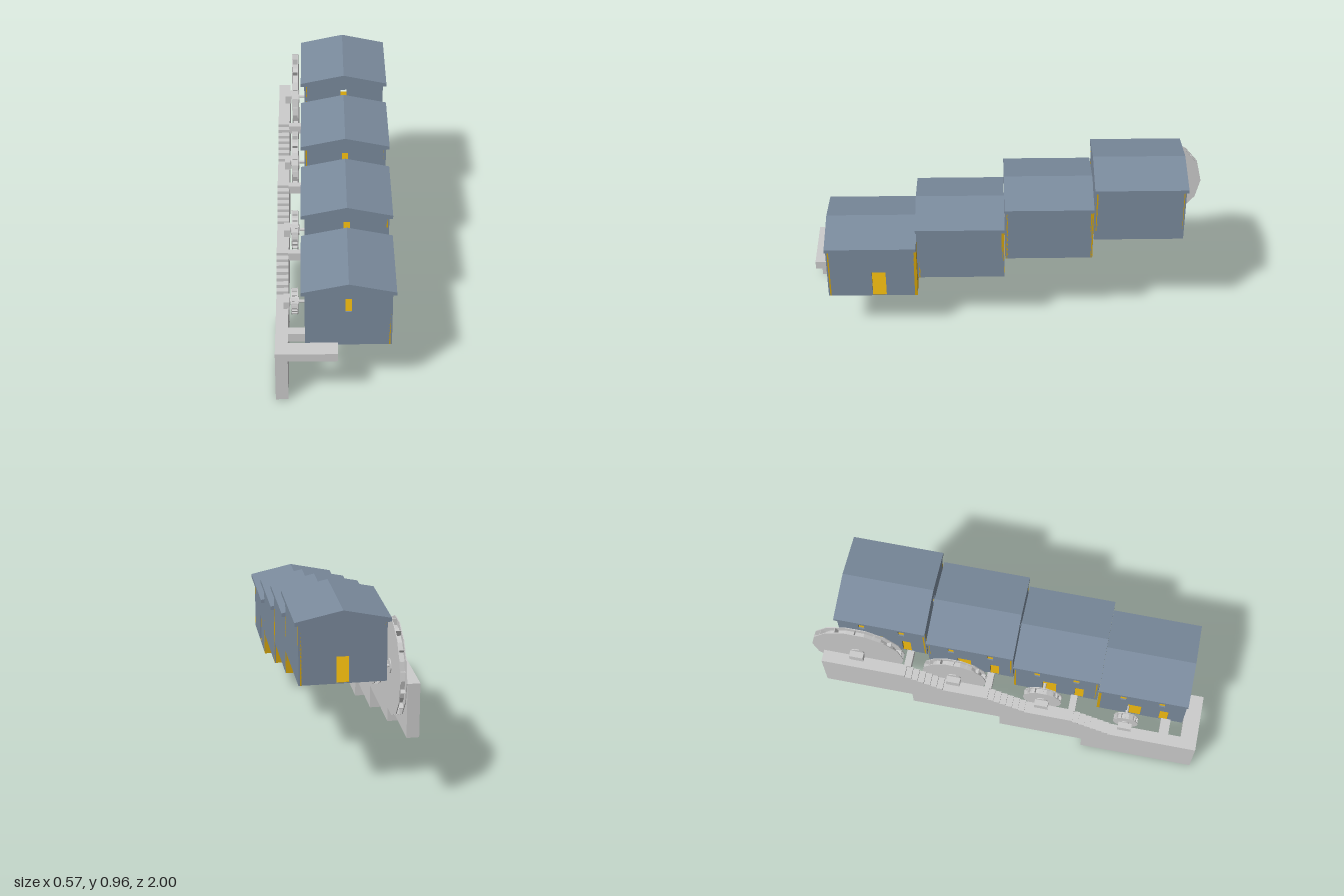
import * as THREE from 'three';

const mat = (color) => new THREE.MeshStandardMaterial({ color, flatShading: true });
const BLUE = mat(0x7b8b9d), YELLOW = mat(0xd4a40c), GREY = mat(0xcccccc);

function add(parent, geo, material, name, x = 0, y = 0, z = 0) {
  const m = new THREE.Mesh(geo, material);
  m.name = name;
  m.position.set(x, y, z);
  parent.add(m);
  return m;
}

// Box given by its minimum and maximum on each axis
function block(parent, name, [x0, x1], [y0, y1], [z0, z1], material = GREY) {
  return add(parent, new THREE.BoxGeometry(x1 - x0, y1 - y0, z1 - z0), material, name,
    (x0 + x1) / 2, (y0 + y1) / 2, (z0 + z1) / 2);
}

function extrude(points, depth, holes = []) {
  const shape = new THREE.Shape(points.map(([a, b]) => new THREE.Vector2(a, b)));
  for (const [u0, u1, v0, v1] of holes) {
    shape.holes.push(new THREE.Path([[u0, v0], [u0, v1], [u1, v1], [u1, v0]]
      .map(([a, b]) => new THREE.Vector2(a, b))));
  }
  return new THREE.ExtrudeGeometry(shape, { depth, bevelEnabled: false });
}

// Wall with an outer and an inner skin; dir is the axis sign it faces
function wall(parent, name, axis, at, dir, [u0, u1], height, holes, outer) {
  const rect = [[u0, 0], [u1, 0], [u1, height], [u0, height]];
  const T = 0.007;
  [outer, YELLOW].forEach((material, layer) => {
    const geo = extrude(rect, T, holes);
    geo.translate(0, 0, -T / 2);
    if (axis === 'x') geo.rotateY(-Math.PI / 2);
    const p = at - dir * T * (layer + 0.5);
    add(parent, geo, material, name + (layer ? 'Lining' : ''),
      axis === 'x' ? p : 0, 0, axis === 'z' ? p : 0);
  });
}

const X0 = -0.145, X1 = 0.265, RIDGE = 0.06, WALL_H = 0.293;

function house(i, base, zBack, zFront) {
  const g = new THREE.Group();
  g.name = 'millHouse' + (i + 1);
  g.position.y = base;
  const c = (zBack + zFront) / 2;
  const front = zFront - 0.004;
  const back = i === 3 ? zBack + 0.008 : zBack;
  const win = (u) => [u - 0.015, u + 0.015, 0.195, 0.27];
  const doorway = (u, w, h, y = 0.004) => [u - w / 2, u + w / 2, y, y + h];

  // Front with a window, back with a doorway up to the next house
  wall(g, 'frontWall', 'z', front, 1, [X0, X1], WALL_H, [win(RIDGE)], BLUE);
  const backDoor = i === 3 ? doorway(RIDGE, 0.06, 0.128) : doorway(RIDGE, 0.06, 0.15, 0.118);
  wall(g, 'backWall', 'z', back, -1, [X0, X1], WALL_H, [backDoor], i === 3 ? BLUE : YELLOW);

  // Wheel side: two windows, a bridge door and a shaft opening
  wall(g, 'wheelSideWall', 'x', X0, -1, [back, front], WALL_H,
    [win(c + 0.1), win(c - 0.1), doorway(c + 0.12, 0.045, 0.12), doorway(c - 0.035, 0.07, 0.13)], BLUE);
  wall(g, 'outerSideWall', 'x', X1, 1, [back, front], WALL_H,
    i === 0 ? [doorway(c - 0.035, 0.07, 0.146)] : [], BLUE);

  block(g, 'floor', [X0 + 0.002, X1 - 0.002], [0, 0.006], [back + 0.002, front - 0.002], YELLOW);
  block(g, 'floorSlot', [RIDGE - 0.006, RIDGE + 0.006], [-0.003, 0.001], [c - 0.08, c + 0.05], GREY);

  // Low gabled roof
  const roof = extrude([[-0.163, 0.29], [0.283, 0.29], [0.283, 0.308], [RIDGE, 0.356], [-0.163, 0.308]],
    zFront - zBack);
  add(g, roof, BLUE, 'roof', 0, 0, zBack);
  return g;
}

// Water wheel: two side discs, a drum and paddles between, on a shaft with a bearing block
function waterWheel(i, y, z, r) {
  const g = new THREE.Group();
  g.name = 'waterWheel' + (i + 1);
  g.position.set(-0.195, y, z);
  const disc = (name, radius, width, x, sides) => {
    const geo = new THREE.CylinderGeometry(radius, radius, width, sides);
    geo.rotateZ(Math.PI / 2);
    add(g, geo, GREY, name, x);
  };
  const n = 14;
  for (const s of [-1, 1]) disc('sideDisc', r, 0.004, s * 0.0145, n);
  disc('drum', r * 0.87, 0.026, 0, n);
  for (let k = 0; k < n; k++) {
    const a = (k / n) * Math.PI * 2;
    const rr = r * 0.91;
    const p = add(g, new THREE.BoxGeometry(0.026, r * 0.14, 0.004), GREY, 'paddle',
      0, Math.cos(a) * rr, Math.sin(a) * rr);
    p.rotation.x = a;
  }
  for (const s of [-1, 1]) disc('hub', Math.min(0.035, r * 0.3), 0.006, s * 0.0185, 10);
  disc('shaft', 0.008, 0.12, 0.015, 8);
  block(g, 'bearing', [-0.055, -0.024], [-0.026, 0.018], [-0.035, 0.035]);
  return g;
}

export function createModel() {
  const model = new THREE.Group();
  model.name = 'stepped water mill';

  // Four houses climbing the slope
  const zs = [0.915, 0.46, 0.02, -0.418, -0.872];
  [0.26, 0.375, 0.492, 0.606].forEach((y, i) => model.add(house(i, y, zs[i + 1], zs[i])));

  // Wheels grow towards the back
  [[0.295, 0.62, 0.065], [0.41, 0.18, 0.1], [0.525, -0.275, 0.165], [0.64, -0.765, 0.235]]
    .forEach(([y, z, r], i) => model.add(waterWheel(i, y, z, r)));

  // Stone wall: stepped underside, flights of stairs along the top
  const tops = [0.275, 0.388, 0.5, 0.614];
  const flights = [0.54, 0.1, -0.32];
  const steps = 7, run = 0.19;
  const outline = [[1, 0], [1, tops[0]]];
  flights.forEach((z, f) => {
    for (let k = 0; k < steps; k++) {
      const zz = z - (run * k) / (steps - 1);
      const rise = (tops[f + 1] - tops[f]) / steps;
      outline.push([zz, tops[f] + rise * k], [zz, tops[f] + rise * (k + 1)]);
    }
  });
  outline.push([-0.938, tops[3]], [-0.938, 0.345], [-0.487, 0.345], [-0.487, 0.235],
    [-0.03, 0.235], [-0.03, 0.115], [0.41, 0.115], [0.41, 0]);
  const stone = extrude(outline, 0.06);
  stone.rotateY(-Math.PI / 2);
  add(model, stone, GREY, 'stoneWall', -0.226);

  // Front landing and bridges from the wall to the houses
  block(model, 'frontLanding', [-0.23, 0.01], [0.232, 0.275], [0.915, 1]);
  [[0.8, 0.85], [0.32, 0.355], [-0.115, -0.08], [-0.525, -0.49]].forEach((zz, i) =>
    block(model, 'bridge', [-0.23, X0], [tops[i] - 0.044, tops[i]], zz));

  return model;
}
